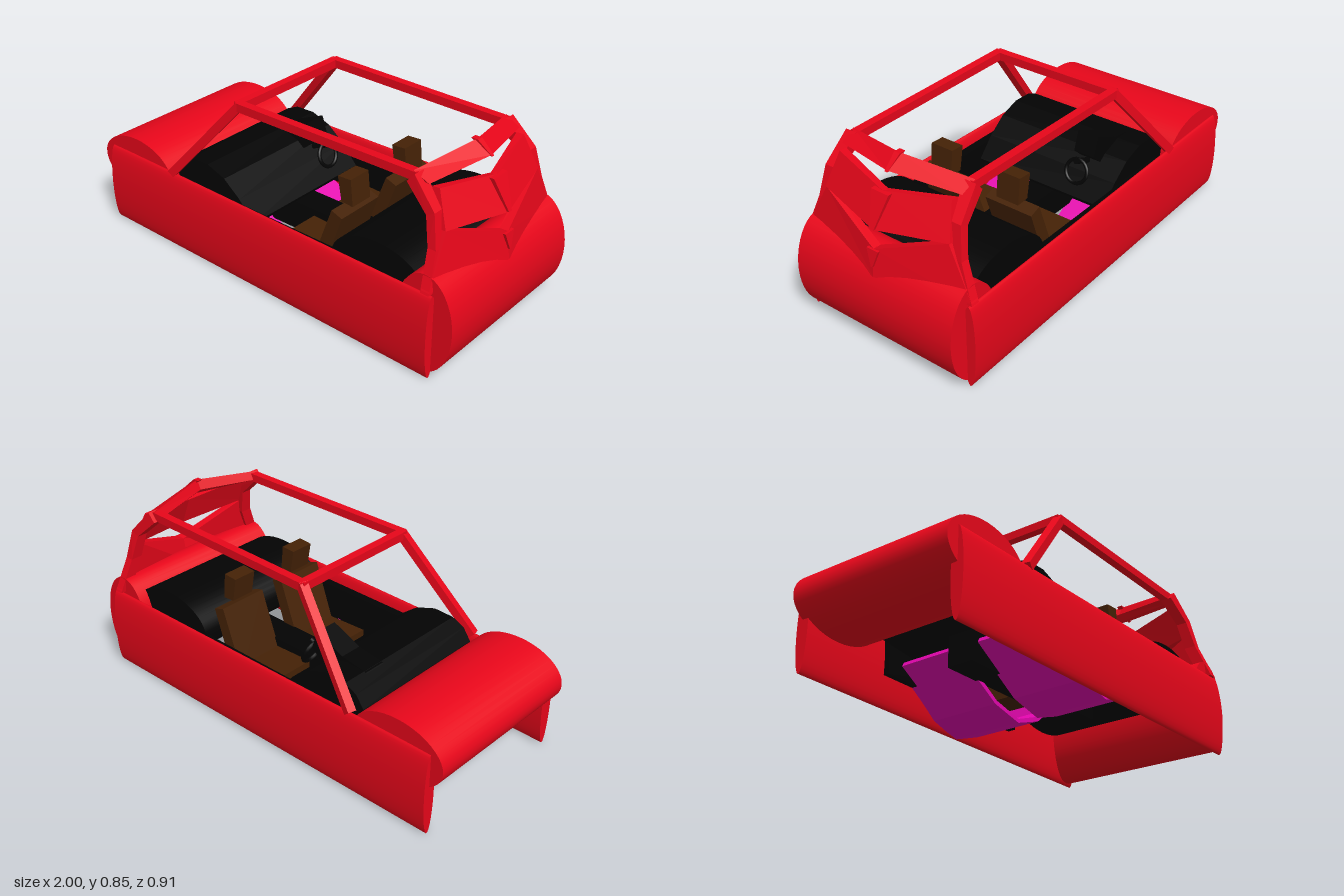
import * as THREE from 'three';

const mat = (color, flatShading = false) =>
  new THREE.MeshStandardMaterial({ color, flatShading, side: THREE.DoubleSide });
const red = mat(0xe8061a), redFlat = mat(0xe8061a, true), black = mat(0x030303);
const brown = mat(0x452206), magenta = mat(0xe606b0, true);
const SIDES = [1, -1];

export function createModel() {
  const car = new THREE.Group();
  car.name = 'car';

  const add = (name, geometry, material, x = 0, y = 0, z = 0) => {
    const mesh = new THREE.Mesh(geometry, material);
    mesh.name = name;
    mesh.position.set(x, y, z);
    car.add(mesh);
    return mesh;
  };

  // Elliptical cylinder lying across the car
  const roll = (name, material, x, y, rx, ry, width) =>
    add(name, new THREE.CylinderGeometry(1, 1, width, 40).rotateX(Math.PI / 2).scale(rx, ry, 1), material, x, y);

  const box = (name, material, x0, x1, y0, y1, z0, z1) =>
    add(name, new THREE.BoxGeometry(x1 - x0, y1 - y0, z1 - z0), material,
      (x0 + x1) / 2, (y0 + y1) / 2, (z0 + z1) / 2);

  // Side profile extruded between two z positions
  const slab = (name, material, points, z0, z1) => {
    const shape = new THREE.Shape(points.map(p => new THREE.Vector2(...p)));
    return add(name, new THREE.ExtrudeGeometry(shape, { depth: z1 - z0, bevelEnabled: false }), material, 0, 0, z0);
  };

  // Skin through four-cornered sections, capped at both ends
  const loft = (name, material, sections) => {
    const pos = [];
    const quad = (a, b, c, d) => pos.push(...a, ...b, ...c, ...a, ...c, ...d);
    for (let s = 0; s < sections.length - 1; s++)
      for (let i = 0; i < 4; i++) {
        const j = (i + 1) % 4, a = sections[s], b = sections[s + 1];
        quad(a[i], a[j], b[j], b[i]);
      }
    quad(...[...sections[0]].reverse());
    quad(...sections[sections.length - 1]);
    const g = new THREE.BufferGeometry();
    g.setAttribute('position', new THREE.Float32BufferAttribute(pos, 3));
    g.computeVertexNormals();
    return add(name, g, material);
  };

  // Square bar between two points
  const bar = (name, a, b, t = 0.038) => {
    const p = new THREE.Vector3(...a), q = new THREE.Vector3(...b);
    const mesh = add(name, new THREE.BoxGeometry(t, t, p.distanceTo(q) + t * 0.5), redFlat);
    mesh.position.copy(p).lerp(q, 0.5);
    mesh.lookAt(q);
  };

  // Rounded body sections
  roll('hood', red, -0.775, 0.33, 0.225, 0.14, 0.8);
  roll('tail', red, 0.865, 0.237, 0.135, 0.223, 0.825);
  roll('rearShelf', black, 0.595, 0.33, 0.23, 0.135, 0.72);

  // Dashboard, sloping down towards the seats
  slab('dashboard', black, [[-0.56, 0.38], [-0.52, 0.435], [-0.46, 0.462], [-0.36, 0.465], [-0.26, 0.43],
    [-0.17, 0.36], [-0.09, 0.27], [-0.1, 0.25], [-0.3, 0.25], [-0.55, 0.28]], -0.35, 0.35);

  // Bulged door panels, slightly wider at the rear
  for (const s of SIDES) {
    const g = new THREE.CylinderGeometry(1, 1, 1.85, 40).rotateZ(Math.PI / 2).scale(1, 0.192, 0.03);
    add('sidePanel', g, red, -0.015, 0.196, s * 0.412).rotation.y = -s * 0.0145;
  }

  // Roof frame
  for (const s of SIDES) {
    bar('windshieldPillar', [-0.53, 0.39, s * 0.4], [-0.19, 0.787, s * 0.31]);
    bar('roofRail', [-0.19, 0.787, s * 0.31], [0.725, 0.787, s * 0.298]);
    // Each row: front x, y, rear x, y, inner z, outer z
    loft('rearPillar', redFlat, [
      [0.705, 0.768, 0.74, 0.808, 0.28, 0.335],
      [0.812, 0.67, 0.85, 0.69, 0.3, 0.352],
      [0.842, 0.55, 0.88, 0.55, 0.318, 0.375],
      [0.862, 0.39, 0.902, 0.39, 0.38, 0.438],
    ].map(([x0, y0, x1, y1, zi, zo]) =>
      [[x0, y0, s * zi], [x1, y1, s * zi], [x1, y1, s * zo], [x0, y0, s * zo]]));
  }
  bar('windshieldHeader', [-0.19, 0.787, 0.31], [-0.19, 0.787, -0.31]);

  // V-shaped rear bands: side section, centre section, mirrored side section
  const band = (name, side, centre) => loft(name, redFlat, [
    side,
    centre.map(([x, y]) => [x, y, 0]),
    side.map(([x, y, z]) => [x, y, -z]),
  ]);
  band('rearRoofBar',
    [[0.72, 0.81, 0.315], [0.79, 0.775, 0.31], [0.74, 0.762, 0.285], [0.705, 0.775, 0.3]],
    [[0.79, 0.845], [0.86, 0.797], [0.8, 0.774], [0.77, 0.8]]);
  band('upperRearBand',
    [[0.79, 0.76, 0.29], [0.825, 0.762, 0.29], [0.885, 0.615, 0.325], [0.85, 0.615, 0.325]],
    [[0.86, 0.72], [0.89, 0.725], [0.955, 0.58], [0.915, 0.585]]);
  band('lowerRearBand',
    [[0.85, 0.615, 0.32], [0.885, 0.615, 0.32], [0.9, 0.4, 0.435], [0.862, 0.4, 0.435]],
    [[0.92, 0.493], [0.96, 0.495], [0.975, 0.37], [0.9, 0.38]]);

  // Tapered ridges down the middle of the rear bands
  const ridge = (x0, y0, w0, x1, y1, w1) => loft('rearRidge', redFlat,
    [[x0, y0, w0], [x1, y1, w1]].map(([x, y, w]) =>
      [[x - 0.03, y, w], [x, y, w], [x, y, -w], [x - 0.03, y, -w]]));
  ridge(0.8, 0.847, 0.014, 0.865, 0.793, 0.007);
  ridge(0.905, 0.725, 0.045, 0.962, 0.585, 0.01);
  ridge(0.968, 0.495, 0.03, 0.978, 0.42, 0.004);

  // Cabin: tunnel, sills, folded floor pans
  box('centreTunnel', black, -0.45, 0.4, 0.11, 0.25, -0.065, 0.065);
  for (const s of SIDES) {
    box('sill', black, -0.5, 0.36, 0.14, 0.34, s * 0.37 - 0.02, s * 0.37 + 0.02);
    const z0 = s > 0 ? 0.05 : -0.4;
    slab('floorPan', magenta, [[-0.42, 0.2], [-0.16, 0.04], [0, 0.002], [0.14, 0.05], [0.2, 0.1], [0.215, 0.175],
      [0.2, 0.175], [0.185, 0.115], [0.13, 0.068], [0, 0.02], [-0.15, 0.058], [-0.41, 0.22]], z0, z0 + 0.35);

    // Seats
    const seat = (name, points, half) => slab(name, brown, points, s * 0.18 - half, s * 0.18 + half);
    seat('seatCushion', [[0.01, 0.14], [0.01, 0.22], [0.23, 0.21], [0.22, 0.165]], 0.12);
    seat('seatBack', [[0.2, 0.17], [0.31, 0.47], [0.365, 0.45], [0.265, 0.16]], 0.12);
    seat('headrest', [[0.31, 0.485], [0.29, 0.598], [0.358, 0.602], [0.37, 0.48]], 0.057);
  }

  // Instrument hump, steering column and wheel
  slab('instrumentHump', black, [[-0.53, 0.38], [-0.47, 0.46], [-0.34, 0.48], [-0.2, 0.54],
    [-0.17, 0.45], [-0.25, 0.38]], -0.235, -0.13);
  const column = add('steeringColumn', new THREE.CylinderGeometry(0.013, 0.013, 0.1, 12), black, -0.16, 0.42, -0.18);
  column.rotation.z = -1.2;
  const wheel = add('steeringWheel', new THREE.TorusGeometry(0.055, 0.009, 8, 24).rotateY(Math.PI / 2), black, -0.12, 0.385, -0.18);
  wheel.rotation.z = 0.35;

  return car;
}
